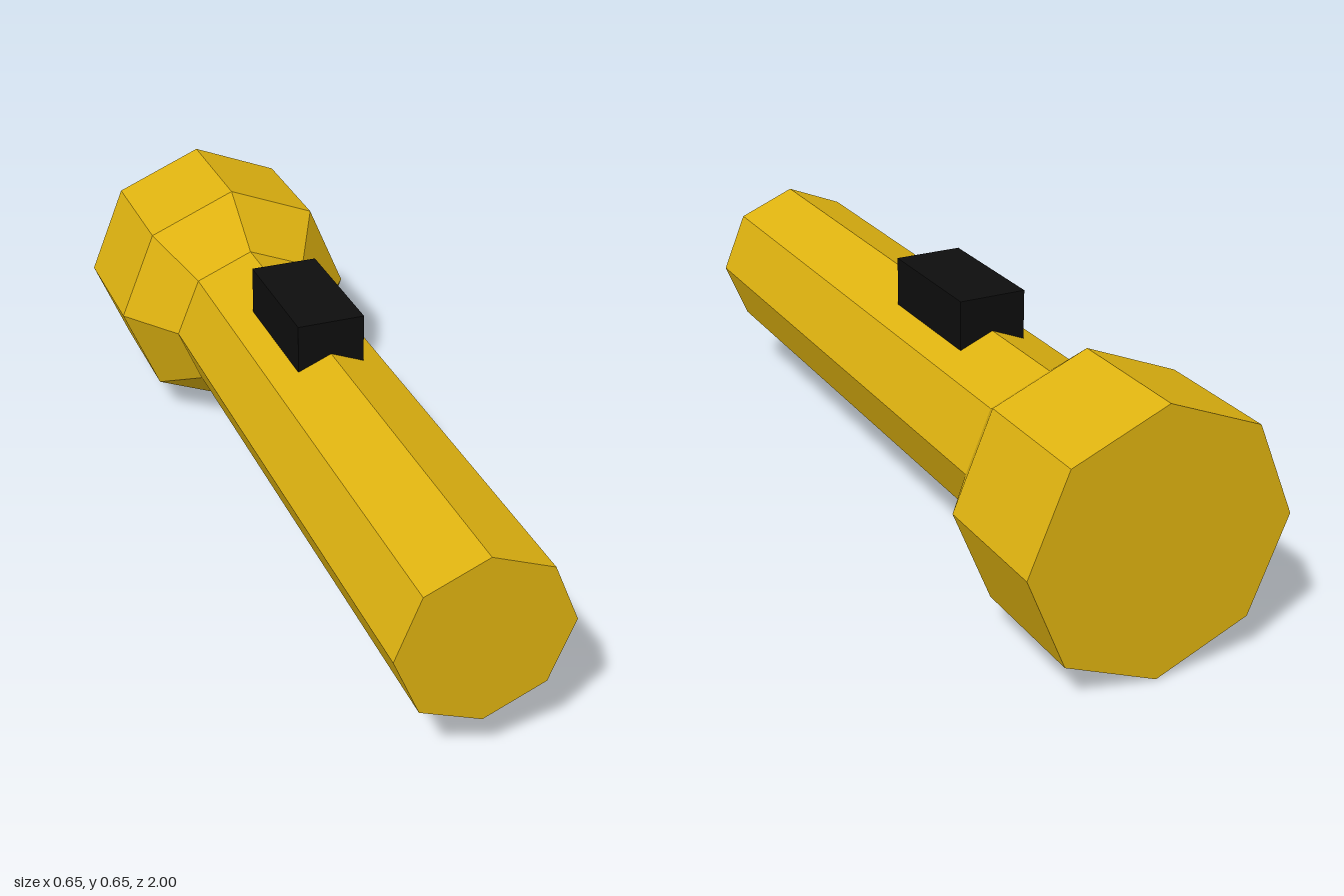
import * as THREE from 'three';

const AXIS_Y = 0.327, TUBE_R = 0.212, HEAD_R = 0.325;

export function createModel() {
  const model = new THREE.Group();
  model.name = 'flashlight';
  const yellow = new THREE.MeshStandardMaterial({ color: 0xdeb210, flatShading: true });
  const black = new THREE.MeshStandardMaterial({ color: 0x0d0d0d, flatShading: true });

  // Octagonal section along z; profile holds [radius, z] pairs from back to front
  function section(name, profile) {
    const points = profile.map(([r, z]) => new THREE.Vector2(r, z));
    const geometry = new THREE.LatheGeometry(points, 8).rotateX(Math.PI / 2);
    const mesh = new THREE.Mesh(geometry, yellow);
    mesh.name = name;
    mesh.position.y = AXIS_Y;
    model.add(mesh);
  }

  // Closed lamp head at the back, flared neck, long handle with a closed end
  section('lampHead', [[0, -1], [HEAD_R, -1], [HEAD_R, -0.675]]);
  section('neck', [[HEAD_R, -0.675], [TUBE_R, -0.52]]);
  section('handle', [[TUBE_R, -0.52], [TUBE_R, 1], [0, 1]]);

  // Switch block, half sunk into the top ridge of the handle
  const button = new THREE.Mesh(new THREE.BoxGeometry(0.17, 0.17, 0.34), black);
  button.name = 'switch';
  button.position.set(0, 0.542, -0.08);
  model.add(button);

  return model;
}
